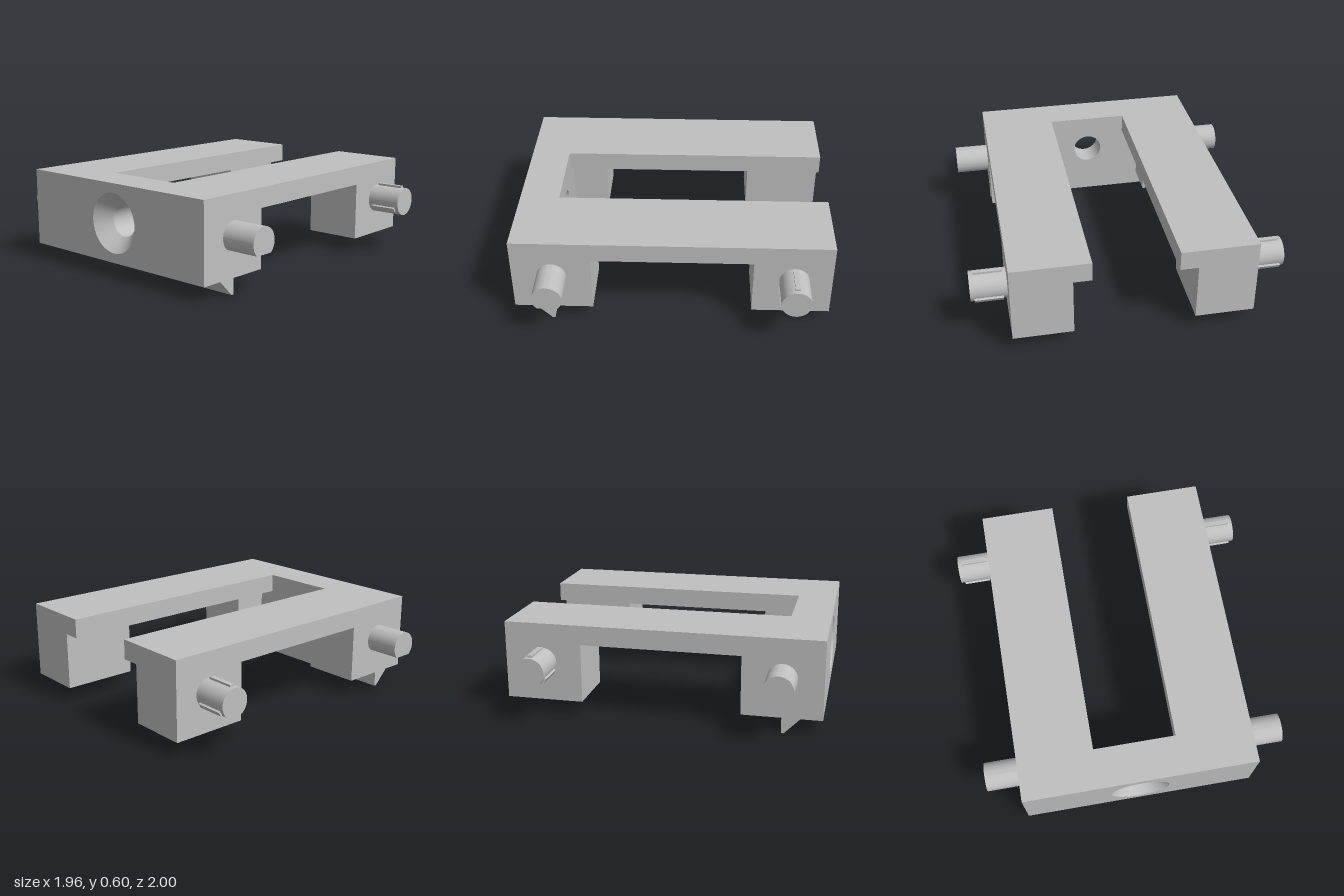
import * as THREE from 'three';
import { toCreasedNormals } from 'three/addons/utils/BufferGeometryUtils.js';

const HALF_W = 0.755, SLOT = 0.265, FOOT_IN = 0.38; // x limits
const BOTTOM = 0.1, SLAB = 0.475, TOP = 0.6;        // y limits
const WALL_BACK = 0.745, SINK = 0.91;               // z limits of the front wall
const AXIS_Y = 0.35, PEG_R = 0.093, PEG_LEN = 0.225;

export function createModel() {
  const model = new THREE.Group();
  model.name = 'slottedBracket';
  const grey = new THREE.MeshStandardMaterial({ color: 0xc0c0c0 });
  grey.name = 'light grey';

  const add = (name, geometry, parent = model) => {
    const mesh = new THREE.Mesh(geometry, grey);
    mesh.name = name;
    parent.add(mesh);
    return mesh;
  };
  // Box given by its limits on each axis
  const block = (name, x0, x1, y0, y1, z0, z1) =>
    add(name, new THREE.BoxGeometry(x1 - x0, y1 - y0, z1 - z0))
      .position.set((x0 + x1) / 2, (y0 + y1) / 2, (z0 + z1) / 2);
  const extrude = (shape, depth, curveSegments = 24) =>
    new THREE.ExtrudeGeometry(shape, { depth, curveSegments, bevelEnabled: false });

  // Front wall layer with a round hole
  const wallLayer = (holeR, depth) => {
    const s = new THREE.Shape([
      new THREE.Vector2(-HALF_W, BOTTOM), new THREE.Vector2(HALF_W, BOTTOM),
      new THREE.Vector2(HALF_W, TOP), new THREE.Vector2(-HALF_W, TOP)]);
    s.holes.push(new THREE.Path().absarc(0, AXIS_Y, holeR, 0, Math.PI * 2, true));
    return extrude(s, depth);
  };
  add('frontWallBack', toCreasedNormals(wallLayer(0.1, SINK - WALL_BACK), 0.5)).position.z = WALL_BACK;

  // Countersink: narrow the rear rim of the front layer's hole
  const sink = wallLayer(0.19, 1 - SINK);
  const p = sink.attributes.position;
  for (let i = 0; i < p.count; i++) {
    const x = p.getX(i), y = p.getY(i) - AXIS_Y;
    if (p.getZ(i) < 0.001 && Math.hypot(x, y) < 0.2) {
      p.setXY(i, x * 0.1 / 0.19, AXIS_Y + y * 0.1 / 0.19);
    }
  }
  sink.computeVertexNormals();
  add('frontWallCountersink', toCreasedNormals(sink, 0.5)).position.z = SINK;

  // Wedge-shaped catch under the front wall; shape x is -z
  const catchShape = new THREE.Shape([
    new THREE.Vector2(-0.865, BOTTOM), new THREE.Vector2(-0.767, 0),
    new THREE.Vector2(-0.75, 0), new THREE.Vector2(-0.75, BOTTOM)]);
  const lip = add('catchLip', extrude(catchShape, HALF_W * 2));
  lip.rotation.y = Math.PI / 2;
  lip.position.x = -HALF_W;

  // Peg sections: a D with a flat underside, and a full circle
  const flat = Math.asin(0.07 / PEG_R);
  const dShape = new THREE.Shape().absarc(0, 0, PEG_R, -flat, Math.PI + flat, false);
  dShape.closePath();
  const roundShape = new THREE.Shape().absarc(0, 0, PEG_R, 0, Math.PI * 2, false);

  for (const side of [1, -1]) {
    const label = side > 0 ? 'left' : 'right';
    const mirrored = (name, a, b, ...rest) =>
      block(label + name, Math.min(side * a, side * b), Math.max(side * a, side * b), ...rest);

    // Arm with two feet
    mirrored('Arm', SLOT, HALF_W, SLAB, TOP, -1, WALL_BACK);
    mirrored('FrontFoot', FOOT_IN, HALF_W, BOTTOM, SLAB, 0.5, WALL_BACK);
    mirrored('BackFoot', FOOT_IN, HALF_W, BOTTOM, SLAB, -1, -0.508);

    // Pegs pointing outwards
    for (const [name, shape, z] of [['FrontPeg', dShape, 0.748], ['BackPeg', roundShape, -0.762]]) {
      const peg = new THREE.Group();
      peg.name = label + name;
      peg.position.set(side * HALF_W, AXIS_Y, z);
      peg.rotation.y = side * Math.PI / 2;
      model.add(peg);
      add('pegBody', toCreasedNormals(extrude(shape, PEG_LEN), 0.5), peg);
      if (shape !== roundShape) continue;
      // Three grip ribs around the back peg
      for (let k = 0; k < 3; k++) {
        const a = Math.PI / 2 + k * Math.PI * 2 / 3, r = PEG_R + 0.001;
        const rib = add('gripRib', new THREE.BoxGeometry(0.022, 0.03, 0.175), peg);
        rib.position.set(Math.cos(a) * r, Math.sin(a) * r, 0.1125);
        rib.rotation.z = a;
      }
    }
  }
  return model;
}
